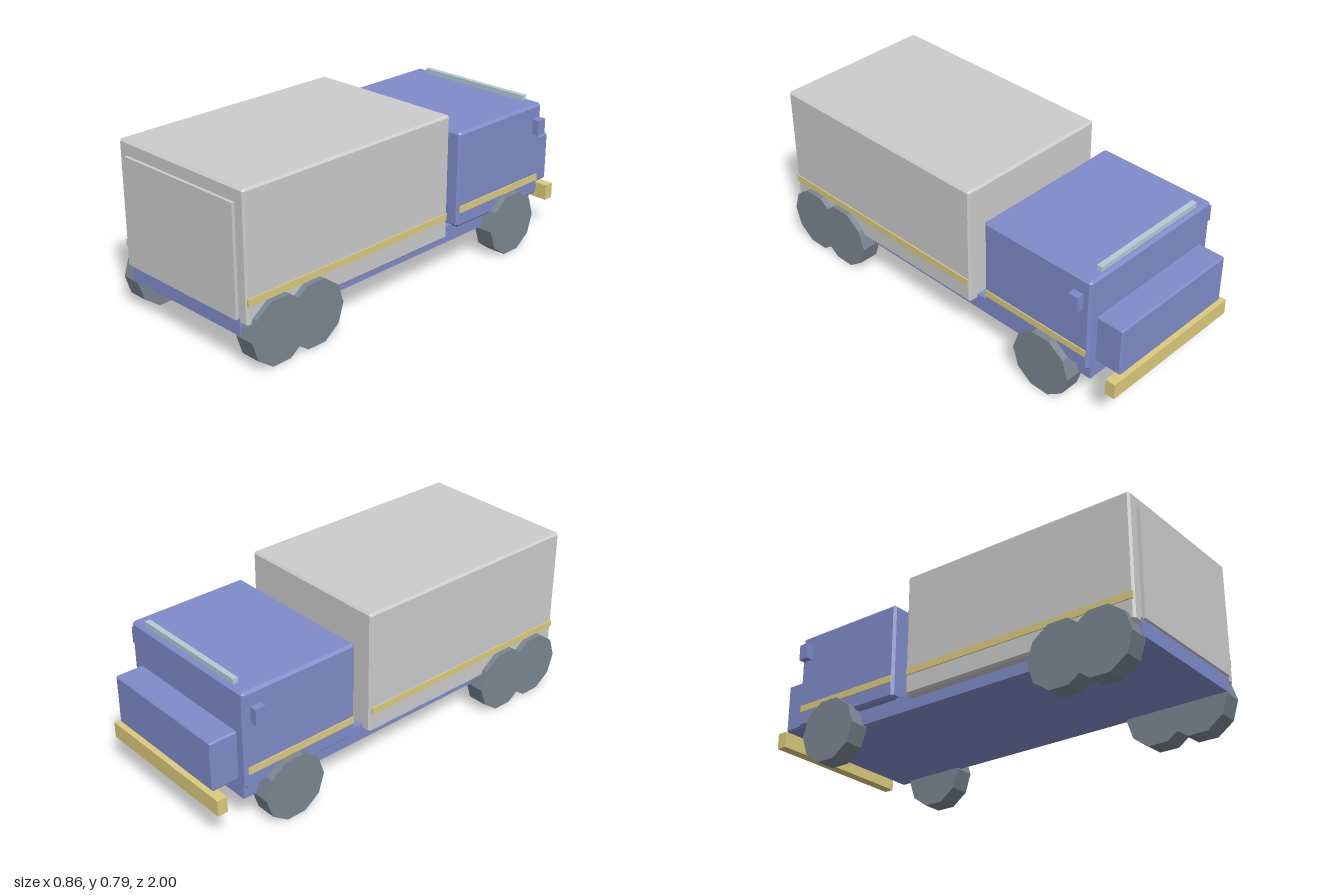
import * as THREE from 'three';
import { ConvexGeometry } from 'three/addons/geometries/ConvexGeometry.js';

const mat = (color) => new THREE.MeshStandardMaterial({ color, flatShading: true });

// Box with every edge cut by a flat chamfer c
function chamferBox(w, h, d, c) {
  const points = [];
  for (const sx of [-1, 1]) for (const sy of [-1, 1]) for (const sz of [-1, 1]) {
    for (let axis = 0; axis < 3; axis++) {
      const cut = [c, c, c];
      cut[axis] = 0;
      points.push(new THREE.Vector3(sx * (w / 2 - cut[0]), sy * (h / 2 - cut[1]), sz * (d / 2 - cut[2])));
    }
  }
  return new ConvexGeometry(points);
}

export function createModel() {
  const truck = new THREE.Group();
  truck.name = 'truck';

  const grey = mat(0xcccccc);
  const blue = mat(0x808bc9);
  const yellow = mat(0xdccb7c);
  const rubber = mat(0x7a8691);
  const glass = mat(0xb4ccd4);

  // Block between two limits on each axis, optionally chamfered
  function block(name, material, [x0, x1], [y0, y1], [z0, z1], chamfer = 0) {
    const size = [x1 - x0, y1 - y0, z1 - z0];
    const geometry = chamfer ? chamferBox(...size, chamfer) : new THREE.BoxGeometry(...size);
    const mesh = new THREE.Mesh(geometry, material);
    mesh.name = name;
    mesh.position.set((x0 + x1) / 2, (y0 + y1) / 2, (z0 + z1) / 2);
    truck.add(mesh);
  }

  // Chassis and body; the cab end points to -z
  block('chassis', blue, [-0.348, 0.348], [0.152, 0.23], [-0.85, 0.988]);
  block('cargoBox', grey, [-0.393, 0.393], [0.204, 0.791], [-0.195, 0.985], 0.01);
  block('cargoDoor', grey, [-0.34, 0.34], [0.225, 0.727], [0.98, 1]);
  block('cab', blue, [-0.386, 0.386], [0.224, 0.684], [-0.862, -0.274], 0.012);
  block('hood', blue, [-0.336, 0.336], [0.25, 0.486], [-0.992, -0.85], 0.007);
  block('bumper', yellow, [-0.375, 0.375], [0.155, 0.231], [-1, -0.951]);
  block('roofLightBar', glass, [-0.305, 0.305], [0.675, 0.708], [-0.843, -0.818]);

  // Ten-sided wheels, standing on a flat
  const radius = 0.154;
  const apothem = radius * Math.cos(Math.PI / 10);
  const wheelGeometry = new THREE.CylinderGeometry(radius, radius, 0.096, 10).rotateZ(Math.PI / 2);
  const axles = { front: -0.633, rearInner: 0.64, rearOuter: 0.834 };

  // Parts found on both sides
  for (const [side, s] of [['Left', 1], ['Right', -1]]) {
    const span = (a, b) => (s > 0 ? [a, b] : [-b, -a]);
    block('cargoStripe' + side, yellow, span(0.385, 0.398), [0.296, 0.329], [-0.185, 0.98]);
    block('cabStripe' + side, yellow, span(0.378, 0.391), [0.296, 0.329], [-0.848, -0.285]);
    block('mirror' + side, blue, span(0.398, 0.432), [0.547, 0.623], [-0.834, -0.784]);
    for (const [axle, z] of Object.entries(axles)) {
      const wheel = new THREE.Mesh(wheelGeometry, rubber);
      wheel.name = axle + 'Wheel' + side;
      wheel.position.set(s * 0.372, apothem, z);
      truck.add(wheel);
    }
  }

  return truck;
}
